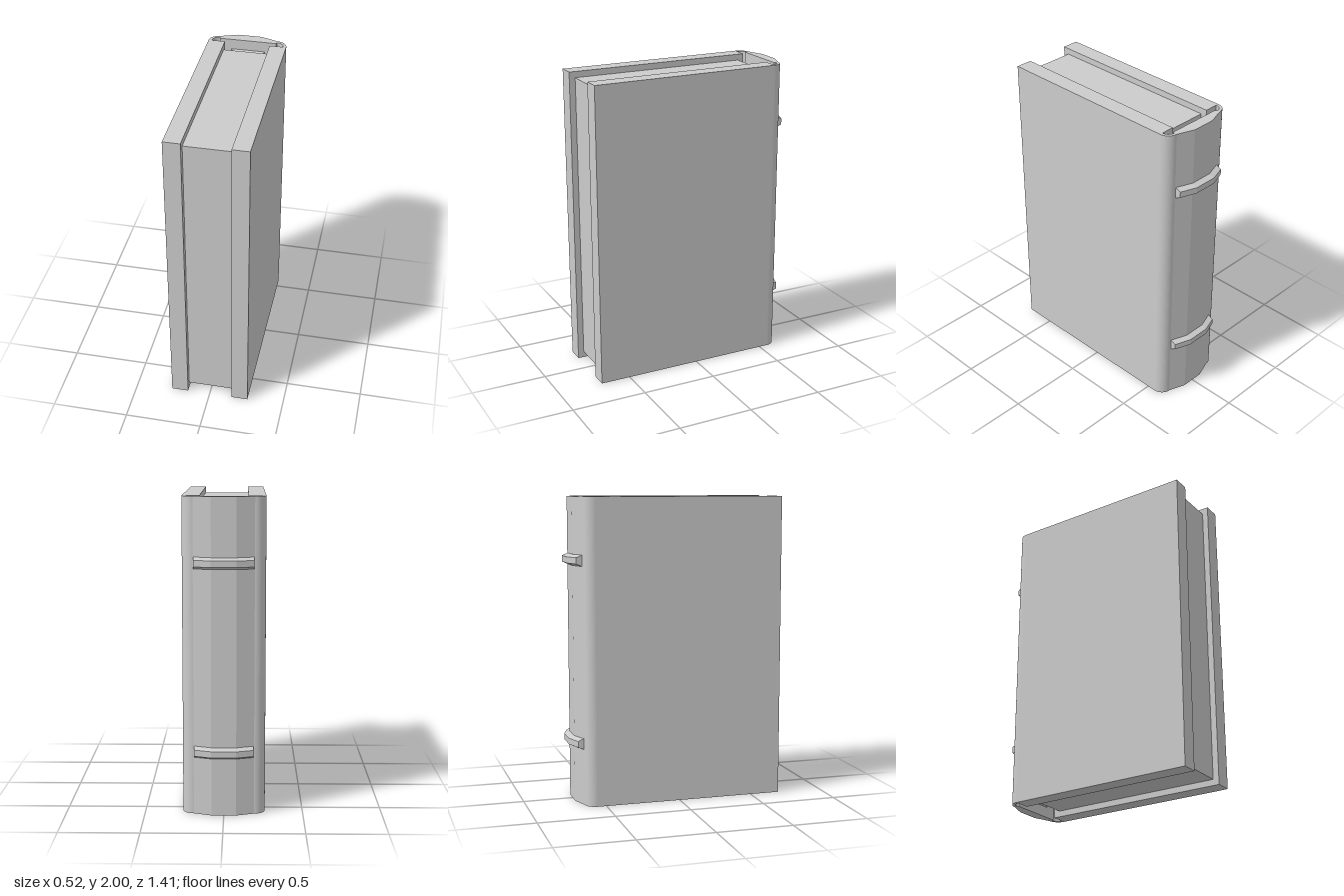
import * as THREE from 'three';

const material = new THREE.MeshStandardMaterial({ color: 0xcccccc, flatShading: true });

function addMesh(group, name, geometry) {
  const mesh = new THREE.Mesh(geometry, material);
  mesh.name = name;
  group.add(mesh);
  return mesh;
}

function addBox(group, name, [x0, x1], [y0, y1], [z0, z1]) {
  const mesh = addMesh(group, name, new THREE.BoxGeometry(x1 - x0, y1 - y0, z1 - z0));
  mesh.position.set((x0 + x1) / 2, (y0 + y1) / 2, (z0 + z1) / 2);
}

// Closed solid through equal-sized loops, each counterclockwise seen from the far end
function loft(sections) {
  const n = sections[0].length;
  const index = [];
  for (let i = 0; i < sections.length - 1; i++) {
    for (let k = 0; k < n; k++) {
      const a = i * n + k, b = i * n + (k + 1) % n;
      index.push(a, b, a + n, b, b + n, a + n);
    }
  }
  const last = (sections.length - 1) * n;
  for (let k = 1; k < n - 1; k++) {
    index.push(0, k + 1, k, last, last + k, last + k + 1);
  }
  const geometry = new THREE.BufferGeometry();
  geometry.setAttribute('position', new THREE.Float32BufferAttribute(sections.flat(2), 3));
  geometry.setIndex(index);
  const flat = geometry.toNonIndexed();
  flat.computeVertexNormals();
  return flat;
}

// Spine outline: x across, y pointing to the back of the book
function spineGeometry() {
  const s = new THREE.Shape();
  s.moveTo(0.26, 0.56);
  s.absarc(0.19, 0.56, 0.07, 0, Math.PI / 2, false);
  s.lineTo(0.078, 0.67);
  s.lineTo(-0.078, 0.67);
  s.lineTo(-0.19, 0.63);
  s.absarc(-0.19, 0.56, 0.07, Math.PI / 2, Math.PI, false);
  s.lineTo(-0.24, 0.56);
  s.absarc(-0.19, 0.56, 0.05, Math.PI, Math.PI / 2, true);
  s.lineTo(-0.187, 0.597);
  s.lineTo(0.187, 0.597);
  s.lineTo(0.19, 0.61);
  s.absarc(0.19, 0.56, 0.05, Math.PI / 2, 0, true);
  const geometry = new THREE.ExtrudeGeometry(s, { depth: 2, bevelEnabled: false, curveSegments: 8 });
  return geometry.rotateX(-Math.PI / 2);
}

// Raised band with a tapered profile following the faceted spine
function bandGeometry() {
  const path = [[-0.187, 0.63], [-0.078, 0.668], [0.078, 0.668], [0.187, 0.63]];
  return loft(path.map(([x, d]) => [
    [x, -0.037, -d],
    [x, -0.02, -d - 0.038],
    [x, 0.02, -d - 0.038],
    [x, 0.037, -d],
  ]));
}

// Rectangle in the xy plane, centred on the book's mid height
const rectangle = (hx, hy, z) => [
  [-hx, 1 - hy, z], [hx, 1 - hy, z], [hx, 1 + hy, z], [-hx, 1 + hy, z],
];

export function createModel() {
  const book = new THREE.Group();
  book.name = 'book';

  // Page block, set in from the covers
  addBox(book, 'pages', [-0.15, 0.15], [0.04, 1.96], [-0.52, 0.66]);

  // Cover boards
  addBox(book, 'leftCover', [0.15, 0.26], [0, 2], [-0.56, 0.7]);
  addBox(book, 'rightCover', [-0.26, -0.15], [0, 2], [-0.56, 0.7]);

  // Spine with its bevelled inner lining
  addMesh(book, 'spine', spineGeometry());
  addMesh(book, 'spineLining', loft([
    rectangle(0.112, 0.93, -0.597),
    rectangle(0.077, 0.895, -0.56),
  ]));

  // Two raised bands
  for (const [name, y] of [['upperBand', 1.595], ['lowerBand', 0.405]]) {
    addMesh(book, name, bandGeometry()).position.y = y;
  }
  return book;
}
